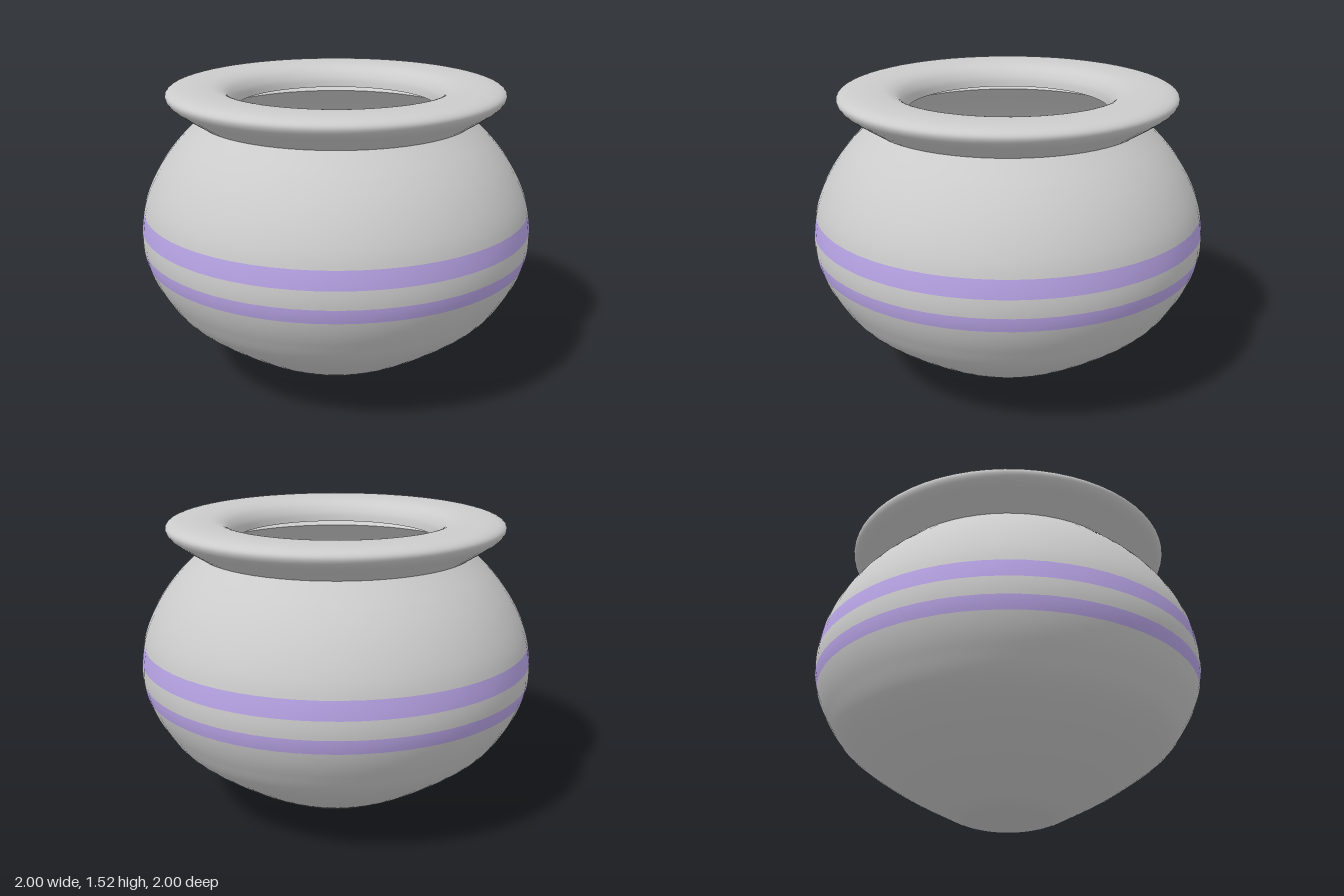
import * as THREE from 'three';

const SIDES = 64;
const toPoints = (list) => list.map(([r, y]) => new THREE.Vector2(r, y));

// Belly outline from the foot up to the shoulder: [radius, height]
const belly = new THREE.SplineCurve(toPoints([
  [0.22, 0], [0.255, 0.01], [0.33, 0.045], [0.57, 0.18], [0.81, 0.355], [0.92, 0.5],
  [0.98, 0.63], [1, 0.75], [0.985, 0.89], [0.95, 1.0], [0.885, 1.12], [0.8, 1.23], [0.69, 1.34],
])).getPoints(120);

// Radius of the belly at a height
function radiusAt(y) {
  const i = Math.max(1, belly.findIndex((p) => p.y >= y));
  const a = belly[i - 1], b = belly[i];
  return THREE.MathUtils.mapLinear(y, a.y, b.y, a.x, b.x);
}

// Part of the belly between two heights
function bellySlice(y0, y1) {
  return [
    new THREE.Vector2(radiusAt(y0), y0),
    ...belly.filter((p) => p.y > y0 + 0.003 && p.y < y1 - 0.003),
    new THREE.Vector2(radiusAt(y1), y1),
  ];
}

export function createModel() {
  const group = new THREE.Group();
  const clay = new THREE.MeshStandardMaterial({ color: 0xcccccc, side: THREE.DoubleSide });
  const paint = new THREE.MeshStandardMaterial({ color: 0xb8a4e6, side: THREE.DoubleSide });

  function addLathe(name, points, material) {
    const mesh = new THREE.Mesh(new THREE.LatheGeometry(points, SIDES), material);
    mesh.name = name;
    group.add(mesh);
  }

  // Flat foot
  addLathe('base', toPoints([[0, 0], [0.22, 0]]), clay);

  // Thin shell, with two painted bands around the middle
  addLathe('lowerBody', bellySlice(0, 0.64), clay);
  addLathe('lowerBand', bellySlice(0.64, 0.71), paint);
  addLathe('middleBody', bellySlice(0.71, 0.8), clay);
  addLathe('upperBand', bellySlice(0.8, 0.89), paint);
  addLathe('upperBody', bellySlice(0.89, 1.34), clay);

  // Flared rim that rolls over and dips into the mouth
  const rim = new THREE.SplineCurve(toPoints([
    [0.69, 1.34], [0.775, 1.395], [0.83, 1.435], [0.85, 1.47], [0.835, 1.495], [0.79, 1.51],
    [0.72, 1.515], [0.65, 1.512], [0.595, 1.503], [0.55, 1.48], [0.52, 1.44], [0.51, 1.395],
  ]));
  addLathe('rim', rim.getPoints(60), clay);

  return group;
}
